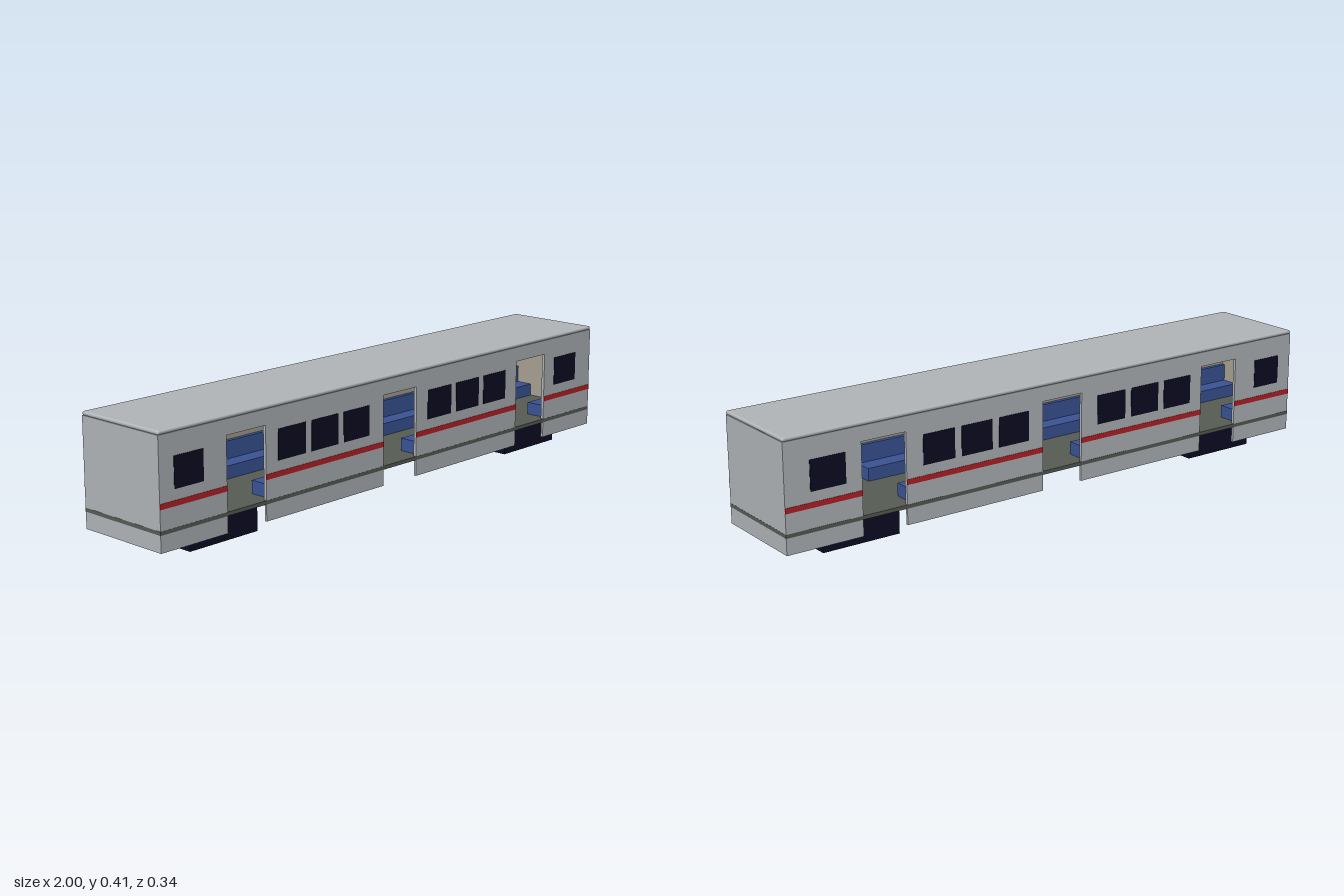
import * as THREE from 'three';
import { RoundedBoxGeometry } from 'three/addons/geometries/RoundedBoxGeometry.js';

const material = (name, color) => {
  const m = new THREE.MeshStandardMaterial({ color });
  m.name = name;
  return m;
};

const DOORS = [[-0.745, -0.59], [-0.08, 0.075], [0.585, 0.74]];
const WINDOWS = [
  [-0.945, -0.835], [-0.54, -0.425], [-0.4, -0.285], [-0.26, -0.145],
  [0.13, 0.245], [0.27, 0.385], [0.41, 0.525], [0.795, 0.915],
];
// Solid stretches of wall between the doors
const BAYS = [[-1, -0.745], [-0.59, -0.08], [0.075, 0.585], [0.74, 1]];
const HALF_WIDTH = 0.167, DOOR_TOP = 0.345, FLOOR_TOP = 0.115, WALL_TOP = 0.394;

// Wall outline with door notches open at the bottom edge
function wallGeometry(halfLength, bottom, top, depth) {
  const s = new THREE.Shape();
  s.moveTo(-halfLength, bottom);
  for (const [a, b] of DOORS) {
    s.lineTo(a, bottom);
    s.lineTo(a, DOOR_TOP);
    s.lineTo(b, DOOR_TOP);
    s.lineTo(b, bottom);
  }
  s.lineTo(halfLength, bottom);
  s.lineTo(halfLength, top);
  s.lineTo(-halfLength, top);
  s.closePath();
  return new THREE.ExtrudeGeometry(s, { depth, bevelEnabled: false });
}

export function createModel() {
  const model = new THREE.Group();
  model.name = 'railCar';

  const shell = material('brushed grey', 0xb2b6ba);
  const floorMat = material('floor olive grey', 0x575c55);
  const glass = material('dark glass', 0x0c0b22);
  const red = material('stripe red', 0xb82026);
  const bogieMat = material('bogie navy', 0x0c0c26);
  const wheelMat = material('wheel steel', 0x33343a);
  const seatMat = material('seat blue', 0x3a5496);
  const lining = material('lining beige', 0xa9a294);
  const railMat = material('rail silver', 0xc4c8cc);

  const add = (parent, name, geometry, mat, x = 0, y = 0, z = 0) => {
    const mesh = new THREE.Mesh(geometry, mat);
    mesh.name = name;
    mesh.position.set(x, y, z);
    parent.add(mesh);
    return mesh;
  };
  // Box given by its limits on each axis
  const box = (parent, name, mat, [x0, x1], [y0, y1], [z0, z1]) =>
    add(parent, name, new THREE.BoxGeometry(x1 - x0, y1 - y0, z1 - z0), mat,
      (x0 + x1) / 2, (y0 + y1) / 2, (z0 + z1) / 2);

  // Roof, ceiling and floor
  add(model, 'roof', new RoundedBoxGeometry(2, 0.013, 0.336, 3, 0.006), shell, 0, 0.3995, 0);
  box(model, 'ceiling', lining, [-0.99, 0.99], [0.387, 0.393], [-0.158, 0.158]);
  box(model, 'floor', floorMat, [-1.0004, 1.0004], [0.103, FLOOR_TOP], [-0.1674, 0.1674]);

  // End walls with inner lining
  for (const s of [-1, 1]) {
    add(model, 'endWall', new THREE.BoxGeometry(0.008, WALL_TOP - 0.05, 0.334), shell,
      s * 0.996, (WALL_TOP + 0.05) / 2, 0);
    add(model, 'endLining', new THREE.BoxGeometry(0.002, 0.272, 0.316), lining, s * 0.991, 0.251, 0);
  }

  // Each side: wall, lining, windows, stripe, benches and rail
  for (const s of [-1, 1]) {
    const side = new THREE.Group();
    side.name = s > 0 ? 'frontSide' : 'backSide';
    model.add(side);
    const span = (a, b) => (s > 0 ? [a, b] : [-b, -a]);

    add(side, 'sideWall', wallGeometry(1, 0.05, WALL_TOP, 0.008), shell,
      0, 0, s > 0 ? HALF_WIDTH - 0.008 : -HALF_WIDTH);
    add(side, 'sideLining', wallGeometry(0.99, FLOOR_TOP, 0.387, 0.002), lining,
      0, 0, s > 0 ? 0.157 : -0.159);

    for (const w of WINDOWS)
      box(side, 'window', glass, w, [0.228, 0.325], span(0.166, 0.1685));

    for (const [a, b] of BAYS) {
      box(side, 'stripe', red, [a, b], [0.178, 0.195], span(0.166, 0.1685));
      const ends = [a === -1 ? -0.988 : a + 0.02, b === 1 ? 0.988 : b - 0.02];
      box(side, 'bench', seatMat, ends, [FLOOR_TOP, 0.157], span(0.083, 0.156));
      box(side, 'backrest', seatMat, ends, [0.157, 0.215], span(0.142, 0.156));
    }

    const rail = add(side, 'grabRail', new THREE.CylinderGeometry(0.003, 0.003, 1.978, 8),
      railMat, 0, 0.335, s * 0.083);
    rail.rotation.z = Math.PI / 2;
    for (const [a, b] of BAYS)
      add(side, 'railHanger', new THREE.CylinderGeometry(0.002, 0.002, 0.054, 6), railMat,
        (a + b) / 2, 0.361, s * 0.083);
  }

  // Bogies with four wheels each
  for (const s of [-1, 1]) {
    const bogie = new THREE.Group();
    bogie.name = 'bogie';
    bogie.position.x = s * 0.72;
    model.add(bogie);
    box(bogie, 'bogieFrame', bogieMat, [-0.134, 0.134], [0.01, 0.103], [-0.122, 0.122]);
    for (const x of [-0.088, 0.088])
      for (const z of [-0.086, 0.086]) {
        const wheel = add(bogie, 'wheel', new THREE.CylinderGeometry(0.05, 0.05, 0.01, 32),
          wheelMat, x, 0.05, z);
        wheel.rotation.x = Math.PI / 2;
      }
  }
  return model;
}
